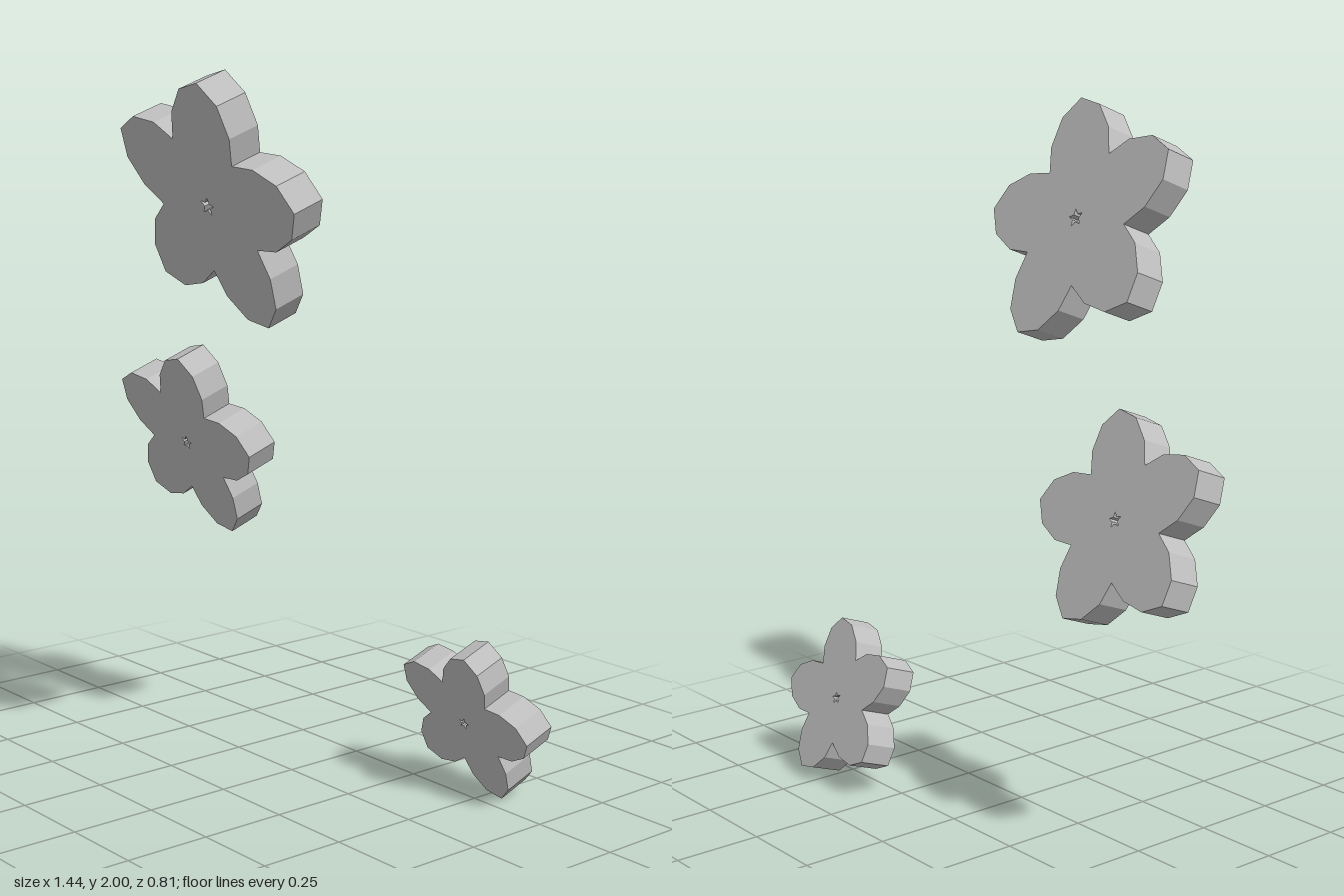
import * as THREE from 'three';

const THICKNESS = 0.1;
const TILT = THREE.MathUtils.degToRad(20);

// Half-petal outline as [along, across], from the notch to the tip
const HALF_PETAL = [[0.164, 0.115], [0.243, 0.114], [0.323, 0.074]];
const PETAL = [
  ...HALF_PETAL.map(([u, v]) => [u, -v]),
  [0.364, 0],
  ...HALF_PETAL.slice(1).reverse(), // the closing notch belongs to the next petal
];

// Five-petal blossom outline with a small star-shaped hole
function blossomShape(scale) {
  const outline = [];
  const star = [];
  for (let i = 0; i < 5; i++) {
    const a = (i * Math.PI * 2) / 5;
    for (const [u, v] of PETAL) {
      outline.push(new THREE.Vector2(u, v).rotateAround(new THREE.Vector2(), a).multiplyScalar(scale));
    }
    for (const [r, turn] of [[0.027, 0], [0.012, Math.PI / 5]]) {
      star.push(new THREE.Vector2(Math.cos(a + turn), Math.sin(a + turn)).multiplyScalar(r * scale));
    }
  }
  const shape = new THREE.Shape(outline);
  shape.holes.push(new THREE.Path(star));
  return shape;
}

export function createModel() {
  const group = new THREE.Group();
  group.name = 'blossoms';
  const grey = new THREE.MeshStandardMaterial({ color: 0xbfbfbf, flatShading: true });
  grey.name = 'light grey';

  // Each blossom: name, scale, centre of its front face
  const blossoms = [
    ['largeBlossom', 1, [0, 1.647, 0.291]],
    ['mediumBlossom', 0.834, [-0.467, 0.907, 0.024]],
    ['smallBlossom', 0.664, [0.475, 0.22, -0.228]],
  ];
  for (const [name, scale, position] of blossoms) {
    const geometry = new THREE.ExtrudeGeometry(blossomShape(scale), { depth: THICKNESS, bevelEnabled: false });
    geometry.translate(0, 0, -THICKNESS);
    const mesh = new THREE.Mesh(geometry, grey);
    mesh.name = name;
    mesh.position.set(...position);
    mesh.rotation.x = TILT; // top leans forward
    group.add(mesh);
  }
  return group;
}
